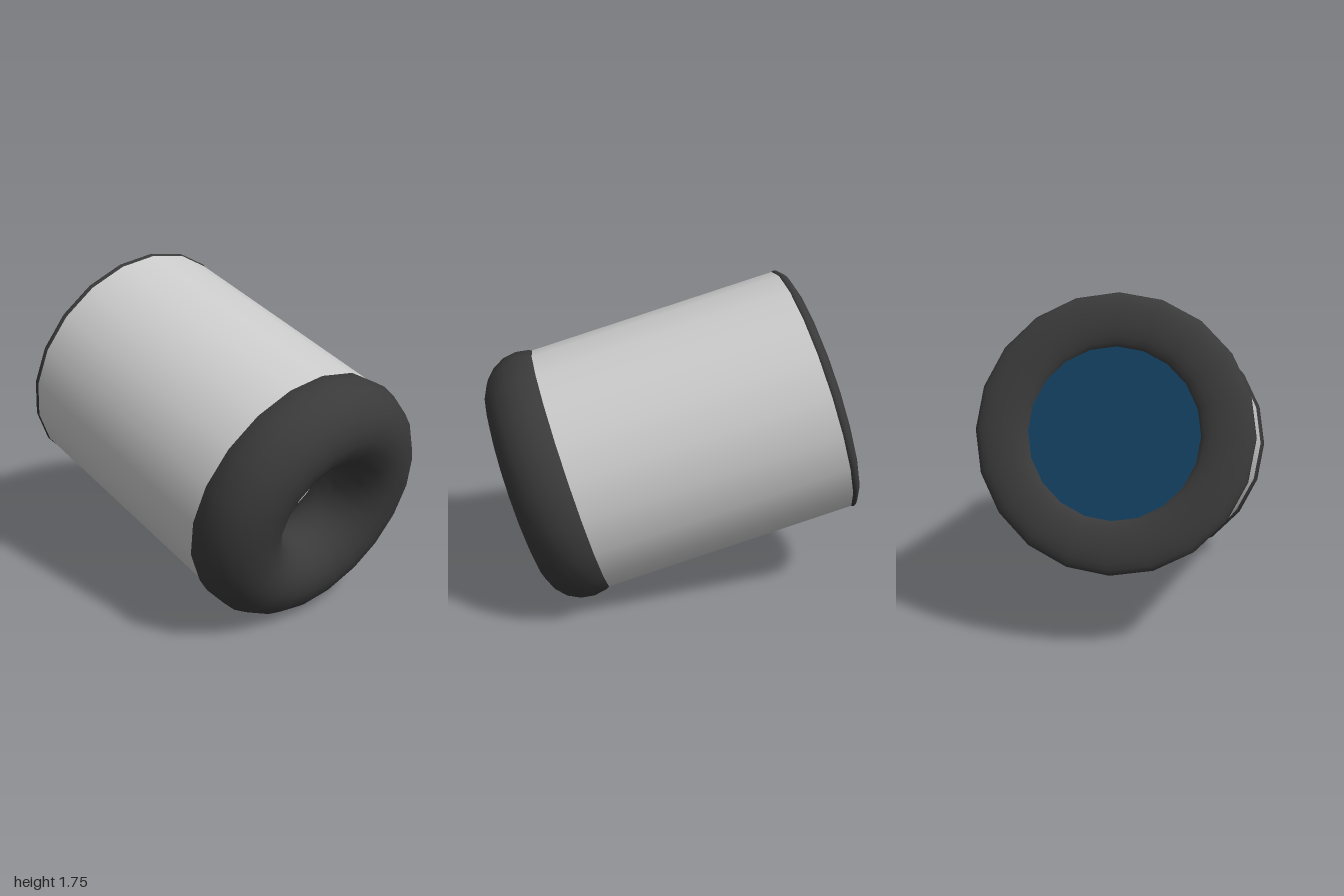
import * as THREE from 'three';

const SIDES = 20;

export function createModel() {
  const model = new THREE.Group();
  const barrel = new THREE.Group();
  barrel.name = 'tiltedBarrel';

  const steel = new THREE.MeshStandardMaterial({ color: 0xcccccc, side: THREE.DoubleSide });
  const rubber = new THREE.MeshStandardMaterial({ color: 0x3a3a3a });
  const glass = new THREE.MeshStandardMaterial({ color: 0x124061, side: THREE.DoubleSide });

  const add = (name, geometry, material, y) => {
    const mesh = new THREE.Mesh(geometry, material);
    mesh.name = name;
    mesh.position.y = y;
    barrel.add(mesh);
    return mesh;
  };

  // ring around the barrel axis (local y), optionally flattened along it
  const ring = (radius, tube, flatten = 1) =>
    new THREE.TorusGeometry(radius, tube, 20, SIDES).scale(1, 1, flatten).rotateX(Math.PI / 2);

  // hollow body: outer and inner walls
  const length = 1.47;
  add('bodyOuterWall', new THREE.CylinderGeometry(0.68, 0.68, length, SIDES, 1, true), steel, length / 2);
  add('bodyInnerWall', new THREE.CylinderGeometry(0.6, 0.6, length, SIDES, 1, true), steel, length / 2);

  // thick cushion ring at the low end, flat rim at the high end
  add('cushionRing', ring(0.4675, 0.2325), rubber, 0);
  add('lensRim', ring(0.55, 0.135, 0.38), rubber, 1.475);

  // lens set into the rim
  add('lens', new THREE.CircleGeometry(0.5, 40).rotateX(-Math.PI / 2), glass, 1.49);

  // lean the barrel so its lens end points left of frame and slightly up
  barrel.rotation.z = 1.286;
  barrel.position.set(0.636, 0.682, 0);
  model.add(barrel);
  return model;
}
